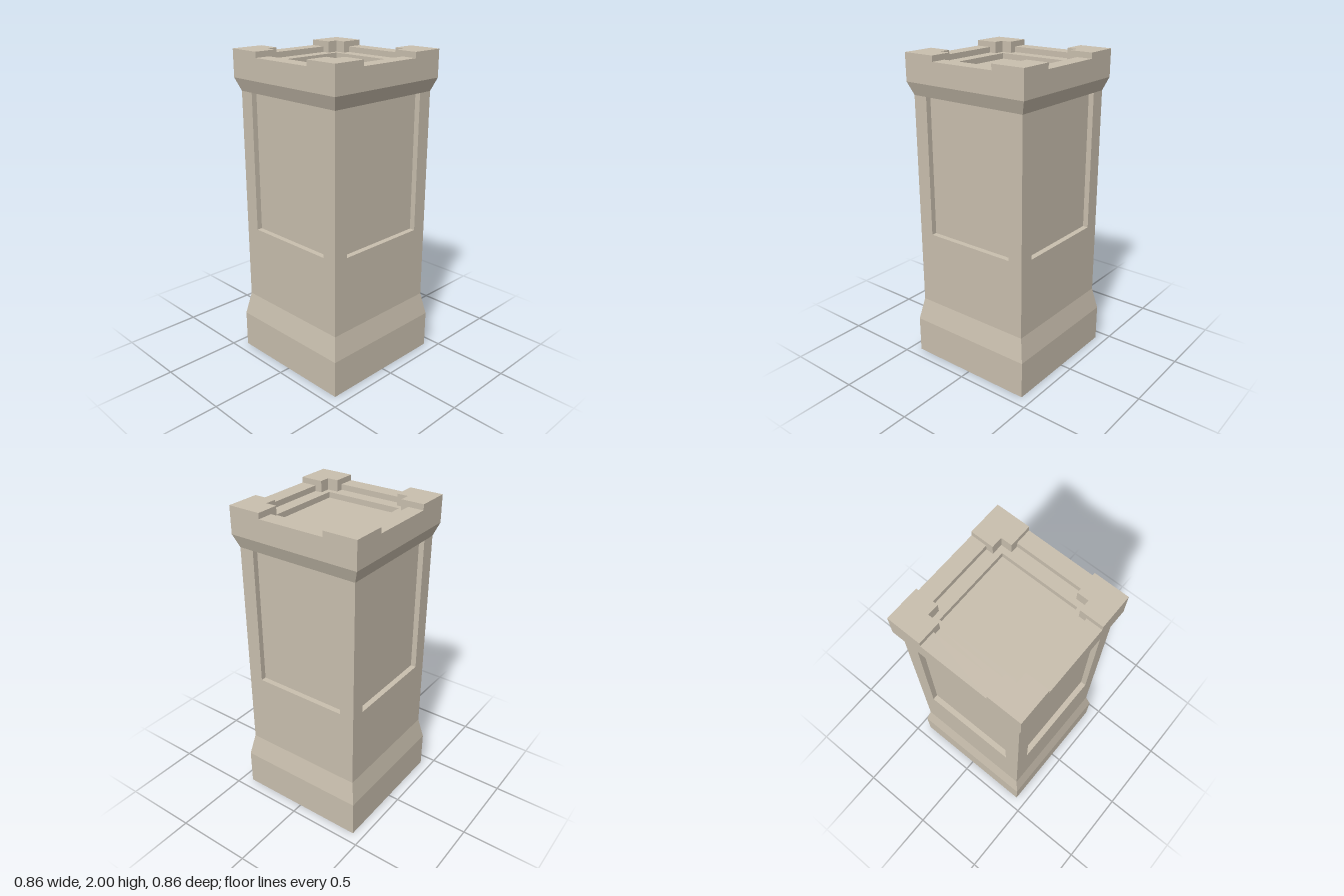
import * as THREE from 'three';

const stone = new THREE.MeshStandardMaterial({ color: 0xc9bfae, flatShading: true });

// Outlines are [x, y] lists, counter-clockwise; y maps to -z when laid flat.
const rect = (x0, y0, x1, y1) => [[x0, y0], [x1, y0], [x1, y1], [x0, y1]];
const square = (h) => rect(-h, -h, h, h);
const spin = (pts, k) => pts.map(([x, y]) => [[x, y], [-y, x], [-x, -y], [y, -x]][k]);

function add(parent, name, geometry) {
  const mesh = new THREE.Mesh(geometry, stone);
  mesh.name = name;
  parent.add(mesh);
  return mesh;
}

// Flat surface facing up at a level, with an optional hole.
function flat(outline, level, hole) {
  const toPoints = (pts) => pts.map(([x, y]) => new THREE.Vector2(x, y));
  const shape = new THREE.Shape(toPoints(outline));
  if (hole) shape.holes.push(new THREE.Path(toPoints(hole)));
  return new THREE.ShapeGeometry(shape).rotateX(-Math.PI / 2).translate(0, level, 0);
}

// Band of walls between two matching outlines; inward turns the faces around.
function walls(low, y0, high, y1, inward = false) {
  const position = [];
  low.forEach((p, i) => {
    const j = (i + 1) % low.length;
    const a = [p[0], y0, -p[1]];
    const b = [low[j][0], y0, -low[j][1]];
    const c = [high[j][0], y1, -high[j][1]];
    const d = [high[i][0], y1, -high[i][1]];
    const quad = inward ? [a, c, b, a, d, c] : [a, b, c, a, c, d];
    position.push(...quad.flat());
  });
  const geometry = new THREE.BufferGeometry();
  geometry.setAttribute('position', new THREE.Float32BufferAttribute(position, 3));
  geometry.computeVertexNormals();
  return geometry;
}

export function createModel() {
  const model = new THREE.Group();
  model.name = 'stonePillar';
  const base = 0.43, shaft = 0.4, sill = 0.39, neck = 1.75;
  const top = 2, rim = 1.965, ledge = 1.93, floor = 1.895;

  // Plinth with sloped shoulder
  add(model, 'underside', flat(square(base), 0).rotateX(Math.PI));
  add(model, 'plinth', walls(square(base), 0, square(base), 0.24));
  add(model, 'plinthSlope', walls(square(base), 0.24, square(shaft), sill));

  // Shaft: four faces, each with a sunken panel reaching up to the cap
  const panel = rect(-0.305, 0.875, 0.305, neck);
  const frame = [[-shaft, sill], [shaft, sill], [shaft, neck], [0.305, neck],
    [0.305, 0.875], [-0.305, 0.875], [-0.305, neck], [-shaft, neck]];
  const depth = shaft - 0.035;
  for (let k = 0; k < 4; k++) {
    const side = new THREE.Group();
    side.name = 'shaftSide';
    side.rotation.y = k * Math.PI / 2;
    const upright = (name, geometry) => add(side, name, geometry.rotateX(Math.PI / 2));
    upright('shaftFace', flat(frame, shaft));
    upright('panelReveal', walls(panel, depth, panel, shaft, true));
    upright('panel', flat(panel, depth));
    model.add(side);
  }

  // Flared cap
  add(model, 'capFlare', walls(square(shaft), neck, square(base), 1.83));
  add(model, 'cap', walls(square(base), 1.83, square(base), rim));

  // Stepped corner blocks and the low rims between them
  const w = 0.215, s = 0.285, r = 0.33;
  const corner = [[base, base], [w, base], [w, s], [s, s], [s, w], [base, w]];
  const inner = [];
  for (let k = 0; k < 4; k++) {
    const block = spin(corner, k);
    add(model, 'cornerBlockSides', walls(block, rim, block, top));
    add(model, 'cornerBlockTop', flat(block, top));
    add(model, 'rimTop', flat(spin(rect(r, -w, base, w), k), rim));
    inner.push(...spin([[r, -w], [r, w], [s, w], [s, s], [w, s], [w, r]], k));
  }

  // Sunken top: ledge, then a square recess (repeated outline points removed)
  const outline = inner.filter((p, i) => {
    const q = inner[(i + 1) % inner.length];
    return Math.hypot(p[0] - q[0], p[1] - q[1]) > 1e-6;
  });
  const recess = square(0.25);
  add(model, 'rimInside', walls(outline, ledge, outline, rim, true));
  add(model, 'ledge', flat(outline, ledge, recess));
  add(model, 'recessSides', walls(recess, floor, recess, ledge, true));
  add(model, 'recessFloor', flat(recess, floor));
  return model;
}
